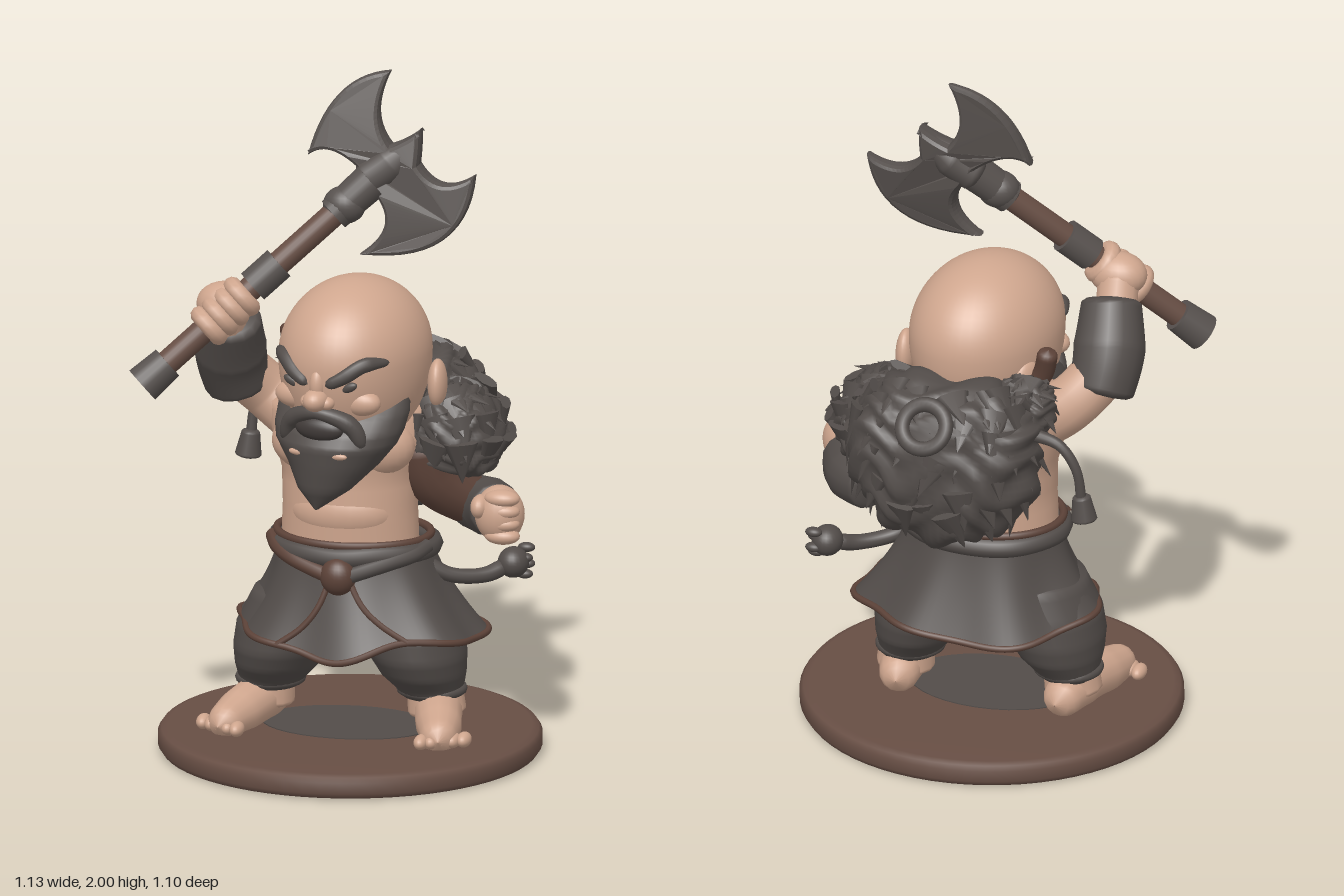
import * as THREE from 'three';
import { mergeVertices } from 'three/addons/utils/BufferGeometryUtils.js';
import { ParametricGeometry } from 'three/addons/geometries/ParametricGeometry.js';

const V = (x, y, z) => new THREE.Vector3(x, y, z);
const mat = (name, color, side = THREE.FrontSide) => {
  const m = new THREE.MeshStandardMaterial({ color, side });
  m.name = name;
  return m;
};

export function createModel() {
  const skin = mat('skin', 0xcfa68e), cloth = mat('charcoal cloth', 0x524c49, THREE.DoubleSide);
  const fur = mat('dark fur', 0x524c49), steel = mat('dark steel', 0x57514e);
  const brown = mat('brown', 0x674e44), trim = mat('red brown trim', 0x5c4238);
  const dark = mat('mouth dark', 0x403a38);
  const root = new THREE.Group();

  const add = (name, geo, m, parent = root) => {
    const mesh = new THREE.Mesh(geo, m);
    mesh.name = name;
    parent.add(mesh);
    return mesh;
  };
  const ball = (name, p, s, m, parent = root) => {
    const b = add(name, new THREE.SphereGeometry(1, 24, 16), m, parent);
    b.position.set(...p);
    b.scale.set(...s);
    return b;
  };
  // Welds seams and smooths a geometry whose vertices were moved
  const smooth = (geo) => {
    geo.deleteAttribute('uv');
    geo.deleteAttribute('normal');
    const g = mergeVertices(geo, 1e-4);
    g.computeVertexNormals();
    return g;
  };
  // Round-ended tube with varying radius along a path
  const limb = (name, pts, radii, m, parent = root, cap = 0.12) => {
    const curve = new THREE.CatmullRomCurve3(pts.map((p) => V(...p)));
    const n = 28, sides = 14, geo = new THREE.TubeGeometry(curve, n, 1, sides);
    const pos = geo.attributes.position, v = V(0, 0, 0);
    for (let i = 0; i < pos.count; i++) {
      const t = Math.floor(i / (sides + 1)) / n, f = t * (radii.length - 1);
      const k = Math.min(Math.floor(f), radii.length - 2);
      const e = Math.max(0, 1 - Math.min(t, 1 - t) / cap);
      const r = THREE.MathUtils.lerp(radii[k], radii[k + 1], f - k) * Math.sqrt(1 - e * e * 0.999);
      const c = curve.getPointAt(t);
      v.fromBufferAttribute(pos, i).sub(c).multiplyScalar(r).add(c);
      pos.setXYZ(i, v.x, v.y, v.z);
    }
    return add(name, smooth(geo), m, parent);
  };
  // Stack of horizontal ellipses [x, y, z, rx, rz], from top to bottom
  const loft = (name, rings, m, parent = root) => {
    const curves = [0, 1, 2, 3, 4].map((k) => (t) => {
      const f = t * (rings.length - 1), i = Math.min(Math.floor(f), rings.length - 2);
      return THREE.MathUtils.lerp(rings[i][k], rings[i + 1][k], f - i);
    });
    const geo = new ParametricGeometry((u, w, out) => {
      const [x, y, z, rx, rz] = curves.map((c) => c(w)), a = -u * Math.PI * 2;
      out.set(x + Math.sin(a) * rx, y, z + Math.cos(a) * rz);
    }, 32, (rings.length - 1) * 4);
    return add(name, smooth(geo), m, parent);
  };
  const rod = (name, a, b, r1, r2, m) => {
    const c = add(name, new THREE.CylinderGeometry(r2, r1, a.distanceTo(b), 20), m);
    c.position.copy(a).lerp(b, 0.5);
    c.quaternion.setFromUnitVectors(V(0, 1, 0), b.clone().sub(a).normalize());
  };

  // Round display base
  const profile = [[0, 0.012], [0.51, 0.012], [0.52, 0], [0.54, 0.005], [0.55, 0.02], [0.55, 0.052], [0.54, 0.066], [0.52, 0.072], [0, 0.072]];
  add('base', new THREE.LatheGeometry(profile.map((p) => new THREE.Vector2(...p)), 64), brown).position.x = 0.01;
  const patch = add('ground patch', new THREE.CylinderGeometry(1, 1, 0.004, 32), cloth);
  patch.position.set(0, 0.073, -0.01);
  patch.scale.set(0.25, 1, 0.17);

  // Bare feet, ankles and baggy trousers
  for (const s of [-1, 1]) {
    const side = s > 0 ? 'left' : 'right';
    limb(side + 'Foot', [[s * 0.24, 0.115, -0.18], [s * 0.265, 0.125, -0.02], [s * 0.3, 0.11, 0.11], [s * 0.325, 0.1, 0.22]], [0.05, 0.07, 0.066, 0.045], skin);
    limb(side + 'Ankle', [[s * 0.24, 0.27, -0.05], [s * 0.255, 0.1, -0.05]], [0.075, 0.085], skin);
    for (let i = 0; i < 5; i++)
      ball(side + 'Toe', [s * (0.272 + i * 0.028), 0.094, 0.205 - i * 0.014], [0.021, 0.022, 0.036], skin);
    loft(side + 'TrouserLeg', [[s * 0.1, 0.5, -0.04, 0.01, 0.01], [s * 0.13, 0.46, -0.04, 0.15, 0.15], [s * 0.175, 0.36, -0.04, 0.155, 0.165], [s * 0.2, 0.29, -0.04, 0.14, 0.165],
      [s * 0.215, 0.235, -0.045, 0.122, 0.145], [s * 0.23, 0.195, -0.05, 0.1, 0.11], [s * 0.24, 0.165, -0.05, 0.085, 0.09], [s * 0.24, 0.17, -0.05, 0.01, 0.01]], cloth);
    const cuff = add(side + 'Cuff', new THREE.TorusGeometry(0.088, 0.014, 10, 28), cloth);
    cuff.position.set(s * 0.238, 0.183, -0.05);
    cuff.rotation.x = Math.PI / 2;
  }
  ball('trouserSeat', [0, 0.39, -0.04], [0.2, 0.12, 0.16], cloth);

  // Flared skirt with a wavy hem
  const skirtAt = (a, v, grow = 0) => {
    const fold = 0.012 * v * Math.sin(a * 7 + 1), front = Math.exp(-((a / 0.35) ** 2));
    const hem = 0.365 - 0.045 * front + 0.015 * Math.sin(a * 3) - (Math.cos(a) < 0 ? 0.025 * Math.cos(a) ** 2 : 0);
    const rx = 0.22 + 0.135 * v ** 1.7 + fold + grow, rz = 0.172 + 0.1 * v ** 1.3 + fold + grow;
    return V(0.01 + 0.025 * v + Math.sin(a) * rx, THREE.MathUtils.lerp(0.645, hem, v), -0.04 + Math.cos(a) * rz);
  };
  add('skirt', new ParametricGeometry((u, v, out) => out.copy(skirtAt((u - 0.5) * -2 * Math.PI, v)), 96, 14), cloth);
  const ring = (v, grow) => Array.from({ length: 64 }, (_, i) => skirtAt((i / 64 - 0.5) * Math.PI * 2, v, grow));
  const loop = (name, v, grow, r, m) => add(name, new THREE.TubeGeometry(new THREE.CatmullRomCurve3(ring(v, grow), true), 160, r, 8, true), m);
  loop('hemTrim', 1, 0, 0.01, trim);
  loop('sash', 0.13, 0, 0.03, cloth);
  loop('sashTrim', 0.02, 0.003, 0.012, trim);
  for (const s of [-1, 1]) {
    const edge = [0.2, 0.4, 0.6, 0.8, 1].map((v) => skirtAt(s * (0.08 + 0.5 * v * v), v, 0.002));
    add('flapTrim', new THREE.TubeGeometry(new THREE.CatmullRomCurve3(edge), 30, 0.009, 8), trim);
    const band = [0, 0.25, 0.5, 0.75, 1].map((t) => skirtAt(s * t * 1.3, 0.3 - 0.22 * t, 0.015));
    add('sashBand', new THREE.TubeGeometry(new THREE.CatmullRomCurve3(band), 30, 0.022, 8), s < 0 ? trim : cloth);
  }
  ball('sashKnot', [0.015, 0.555, 0.16], [0.052, 0.055, 0.045], trim);
  // Sash tail with a tassel at the hip
  limb('sashTail', [[0.2, 0.57, -0.03], [0.29, 0.52, -0.06], [0.38, 0.51, -0.12], [0.43, 0.53, -0.17]], [0.025, 0.022, 0.022, 0.025], cloth);
  ball('tassel', [0.445, 0.535, -0.18], [0.045, 0.045, 0.05], cloth);
  for (let i = 0; i < 4; i++) ball('tasselEnd', [0.475, 0.5 + i * 0.024, -0.19 - (i % 2) * 0.025], [0.025, 0.014, 0.018], cloth);

  // Bare torso
  loft('torso', [[0, 1.12, -0.08, 0.01, 0.01], [0, 1.1, -0.08, 0.16, 0.12], [-0.01, 1.02, -0.07, 0.25, 0.155], [0, 0.93, -0.05, 0.23, 0.18],
    [0, 0.82, -0.05, 0.2, 0.17], [0, 0.72, -0.04, 0.195, 0.165], [0, 0.6, -0.04, 0.2, 0.16]], skin);
  for (const s of [-1, 1]) ball('chestMuscle', [s * 0.095, 0.92, 0.04], [0.115, 0.09, 0.08], skin);
  ball('belly', [0, 0.72, 0.025], [0.16, 0.1, 0.105], skin);

  // Shaggy pelt: a lumpy ellipsoid covered in flat tufts that hang along its surface
  const pelt = (name, c, r, taper, rows, per) => {
    const group = new THREE.Group();
    group.name = name;
    root.add(group);
    const surf = (d) => {
      const b = (q) => Math.sign(q) * Math.abs(q) ** 0.85;
      const k = 1 + 0.035 * Math.sin(d.x * 9 + d.y * 5) + 0.035 * Math.sin(d.y * 17 + d.z * 6 + 3 * Math.sin(d.x * 7));
      return V(c[0] + b(d.x) * r[0] * k * (1 + taper * d.y), c[1] + b(d.y) * r[1] * k, c[2] + b(d.z) * r[2] * k);
    };
    const geo = new THREE.SphereGeometry(1, 72, 48), pos = geo.attributes.position, v = V(0, 0, 0);
    for (let i = 0; i < pos.count; i++) pos.setXYZ(i, ...surf(v.fromBufferAttribute(pos, i)).toArray());
    add('peltBody', smooth(geo), fur, group);
    for (let j = 0; j < rows; j++) for (let i = 0; i < per; i++) {
      const lat = 0.95 - (j / rows) * 1.8, a = ((i + (j % 2) * 0.5 + 0.3 * Math.sin(i * 5 + j * 3)) / per) * Math.PI * 2;
      const d = V(Math.cos(lat) * Math.sin(a), Math.sin(lat), Math.cos(lat) * Math.cos(a));
      const tuft = add('furTuft', new THREE.ConeGeometry(0.05, 0.13, 8), fur, group);
      const dir = V(0.4 * Math.sin(i * 7 + j), -1, 0).addScaledVector(d, d.y).addScaledVector(d, 0.16).normalize();
      const x = dir.clone().cross(d).normalize();
      tuft.position.copy(surf(d)).addScaledVector(d, -0.008);
      tuft.quaternion.setFromRotationMatrix(new THREE.Matrix4().makeBasis(x, dir, x.clone().cross(dir)));
      tuft.scale.z = 0.3;
    }
  };
  pelt('backPelt', [0.055, 0.9, -0.27], [0.28, 0.25, 0.18], 0.16, 6, 15);
  pelt('leftShoulderPelt', [0.285, 0.935, -0.125], [0.14, 0.135, 0.16], -0.2, 4, 11);
  pelt('rightShoulderPelt', [-0.145, 1.055, -0.19], [0.1, 0.085, 0.085], 0, 2, 8);
  const loopRing = add('peltRing', new THREE.TorusGeometry(0.065, 0.022, 10, 28), fur);
  loopRing.position.set(0.07, 1.07, -0.425);
  loopRing.rotation.x = 0.6;
  limb('peltEdge', [[-0.13, 1.06, -0.11], [-0.18, 1.13, -0.11], [-0.205, 1.22, -0.13]], [0.03, 0.03, 0.03], trim);
  // Hanging cord behind the raised arm
  limb('cord', [[-0.2, 1.02, -0.27], [-0.29, 1.0, -0.28], [-0.34, 0.93, -0.28], [-0.355, 0.8, -0.27]], [0.02, 0.015, 0.014, 0.016], cloth, root, 0.04);
  limb('cordTassel', [[-0.352, 0.85, -0.27], [-0.362, 0.765, -0.27]], [0.025, 0.04], cloth);

  // Raised right arm
  limb('rightUpperArm', [[-0.15, 0.96, -0.06], [-0.25, 1.03, -0.06], [-0.33, 1.12, 0.0]], [0.09, 0.08, 0.08], skin);
  limb('rightBracer', [[-0.325, 1.045, -0.03], [-0.335, 1.15, 0.02], [-0.315, 1.3, 0.11]], [0.095, 0.105, 0.085], cloth, root, 0.08);
  limb('rightWrist', [[-0.33, 1.22, 0.09], [-0.32, 1.35, 0.16]], [0.06, 0.06], skin);
  // Lowered left arm with fist
  limb('leftUpperArm', [[0.21, 0.93, -0.04], [0.24, 0.81, -0.06], [0.35, 0.72, -0.13]], [0.08, 0.08, 0.075], trim);
  limb('leftBracer', [[0.31, 0.72, -0.16], [0.39, 0.72, -0.1], [0.445, 0.735, 0.0]], [0.075, 0.085, 0.075], cloth, root, 0.1);
  ball('leftFist', [0.465, 0.745, 0.055], [0.072, 0.085, 0.068], skin);
  for (let i = 0; i < 4; i++) ball('leftFinger', [0.48, 0.8 - i * 0.037, 0.085], [0.052, 0.025, 0.035], skin);
  ball('leftThumb', [0.415, 0.77, 0.08], [0.028, 0.035, 0.045], skin);

  // Axe shaft, fittings and gripping hand
  const p0 = V(-0.5, 1.15, 0.29), p1 = V(0.07, 1.69, 0.0), at = (t) => p0.clone().lerp(p1, t);
  rod('axeShaft', at(0), at(1.08), 0.036, 0.036, brown);
  rod('pommel', at(-0.045), at(0.07), 0.056, 0.05, steel);
  rod('gripCollar', at(0.46), at(0.58), 0.05, 0.05, steel);
  rod('headCollar', at(0.83), at(1.0), 0.05, 0.055, steel);
  ball('collarBand', at(0.88).toArray(), [0.062, 0.055, 0.055], steel);
  ball('rightPalm', [-0.315, 1.345, 0.165], [0.085, 0.065, 0.068], skin);
  for (let i = 0; i < 4; i++) {
    const finger = add('rightFinger', new THREE.TorusGeometry(0.041, 0.026, 10, 20), skin);
    finger.position.copy(at(0.26 + i * 0.05));
    finger.quaternion.setFromUnitVectors(V(0, 0, 1), p1.clone().sub(p0).normalize());
  }
  // Double blade, thick at the eye and thin at the edges
  const sh = new THREE.Shape();
  sh.moveTo(0.11, 2.0);
  for (const q of [[-0.07, 1.98, -0.12, 1.75], [-0.06, 1.8, 0.04, 1.72], [0.06, 1.69, 0.09, 1.65], [0.16, 1.56, 0.045, 1.48], [0.36, 1.46, 0.37, 1.72],
    [0.27, 1.65, 0.205, 1.74], [0.21, 1.8, 0.205, 1.84], [0.17, 1.81, 0.12, 1.79], [0.05, 1.87, 0.11, 2.0]]) sh.quadraticCurveTo(...q);
  const blade = new THREE.ExtrudeGeometry(sh, { depth: 0.02, bevelThickness: 0.02, bevelSize: 0.012, bevelOffset: -0.012, bevelSegments: 2, curveSegments: 14 });
  const bp = blade.attributes.position;
  for (let i = 0; i < bp.count; i++) {
    const x = bp.getX(i), y = bp.getY(i), d = Math.hypot(x - 0.11, y - 1.7);
    bp.setZ(i, (bp.getZ(i) - 0.01) * Math.max(0.5, 1.7 - 4 * d) - 0.03 - 0.2 * (y - 1.72) - 0.05 * (x - 0.11));
  }
  blade.computeVertexNormals();
  add('axeBlade', blade, steel);
  limb('axeEye', [[0.04, 1.68, -0.01], [0.11, 1.73, -0.03], [0.2, 1.81, -0.06]], [0.055, 0.055, 0.015], steel);

  // Bald head, turned a little to its right
  const head = new THREE.Group();
  head.name = 'head';
  head.position.set(0.03, 0, 0.02);
  head.rotation.y = -0.2;
  root.add(head);
  const skull = new THREE.SphereGeometry(1, 48, 32), sp = skull.attributes.position;
  for (let i = 0; i < sp.count; i++) {
    const y = sp.getY(i), z = sp.getZ(i);
    sp.setXYZ(i, sp.getX(i) * 0.21, 1.19 + y * (y > 0 ? 0.22 : 0.3), z * (z > 0 ? 0.26 : 0.265));
  }
  add('skull', smooth(skull), skin, head);
  loft('beard', [[0, 1.1, 0.04, 0.19, 0.09], [0, 1.05, 0.07, 0.2, 0.125], [0, 1.0, 0.1, 0.195, 0.145], [0, 0.96, 0.12, 0.18, 0.145], [0, 0.9, 0.14, 0.135, 0.12], [-0.01, 0.83, 0.18, 0.08, 0.07], [-0.02, 0.77, 0.215, 0.005, 0.005]], cloth, head);
  ball('mouth', [0, 1.018, 0.235], [0.075, 0.036, 0.03], dark, head);
  limb('moustache', [[-0.125, 0.96, 0.205], [-0.095, 1.03, 0.22], [0, 1.07, 0.255], [0.095, 1.03, 0.22], [0.125, 0.96, 0.205]], [0.02, 0.027, 0.018, 0.027, 0.02], cloth, head);
  ball('nose', [0, 1.108, 0.258], [0.036, 0.033, 0.045], skin, head);
  ball('noseBridge', [0, 1.15, 0.243], [0.024, 0.05, 0.03], skin, head);
  for (const s of [-1, 1]) {
    ball('nostril', [s * 0.03, 1.1, 0.247], [0.022, 0.02, 0.025], skin, head);
    ball('cheek', [s * 0.1, 1.095, 0.178], [0.065, 0.04, 0.04], skin, head);
    ball('lipCorner', [s * 0.06, 0.945, 0.245], [0.032, 0.011, 0.012], skin, head);
    ball('eye', [s * 0.088, 1.148, 0.228], [0.03, 0.014, 0.012], cloth, head).rotation.z = s * 0.4;
    limb('eyebrow', [[s * 0.028, 1.152, 0.255], [s * 0.075, 1.178, 0.238], [s * 0.125, 1.212, 0.203], [s * 0.175, 1.212, 0.136]], [0.016, 0.022, 0.022, 0.01], cloth, head);
    ball('ear', [s * 0.2 + 0.015, 1.095, -0.095], [0.028, 0.072, 0.052], skin, head).rotation.y = s * 0.3;
  }
  return root;
}
